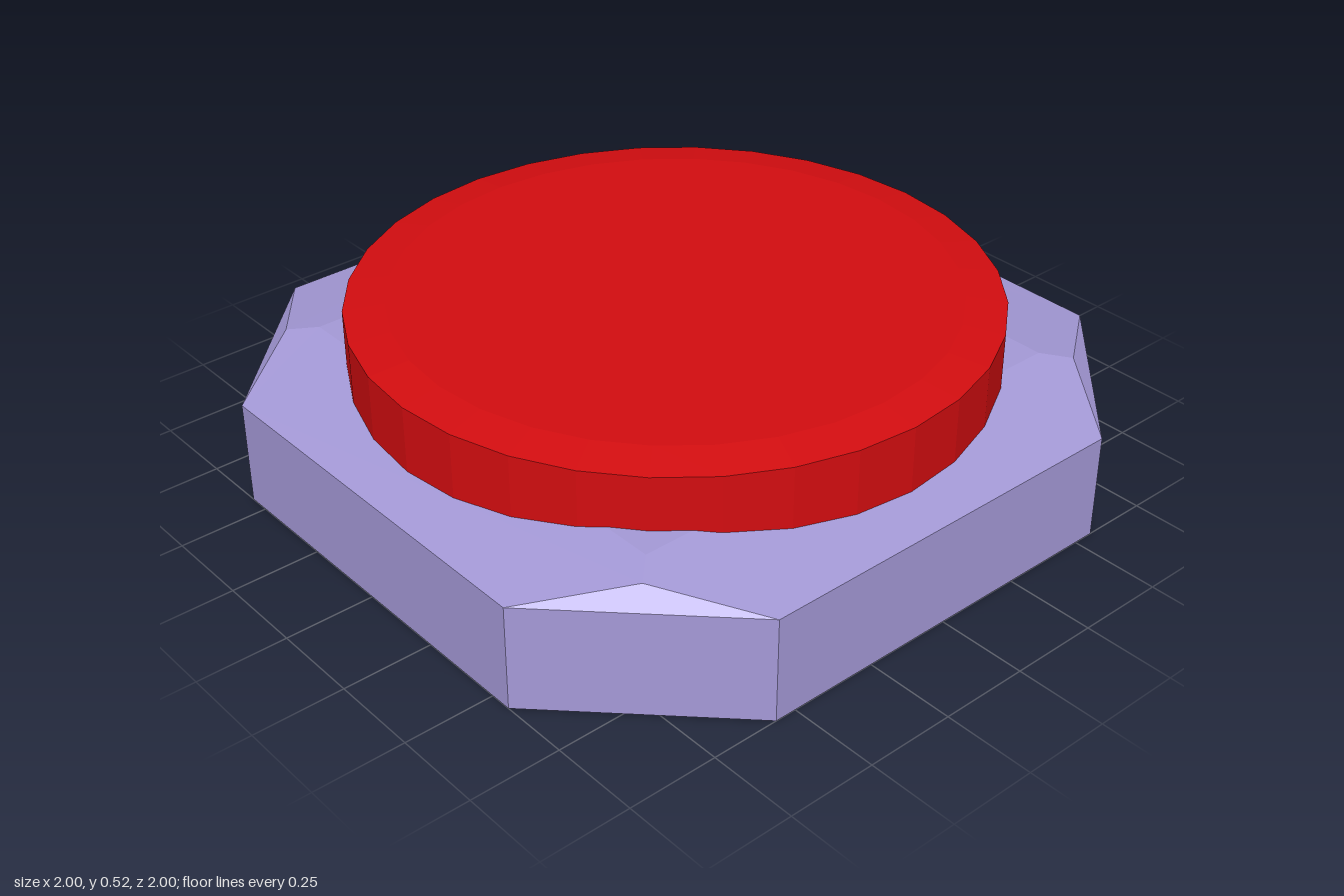
import * as THREE from 'three';

// Octagonal base: one quarter of its faces, repeated by quarter turns
function baseGeometry() {
  const edge = 0.56, wallTop = 0.295, hip = 0.745, hipY = 0.343, flat = 0.68, flatY = 0.355;
  const quarter = [
    // long wall and cut-corner wall
    [[-edge, 0, 1], [edge, 0, 1], [edge, wallTop, 1], [-edge, wallTop, 1]],
    [[edge, 0, 1], [1, 0, edge], [1, wallTop, edge], [edge, wallTop, 1]],
    // shallow top slope and steep corner bevel
    [[-edge, wallTop, 1], [edge, wallTop, 1], [hip, hipY, hip], [flat, flatY, flat], [-flat, flatY, flat], [-hip, hipY, hip]],
    [[edge, wallTop, 1], [1, wallTop, edge], [hip, hipY, hip]],
    // flat top and underside
    [[0, flatY, 0], [-flat, flatY, flat], [flat, flatY, flat]],
    [[0, 0, 0], [1, 0, edge], [edge, 0, 1], [-edge, 0, 1]],
  ];
  const positions = [];
  for (let turn = 0; turn < 4; turn++) {
    const c = [1, 0, -1, 0][turn], s = [0, 1, 0, -1][turn];
    for (const face of quarter) {
      const p = face.map(([x, y, z]) => [x * c + z * s, y, -x * s + z * c]);
      for (let i = 1; i < p.length - 1; i++) positions.push(...p[0], ...p[i], ...p[i + 1]);
    }
  }
  const geometry = new THREE.BufferGeometry();
  geometry.setAttribute('position', new THREE.Float32BufferAttribute(positions, 3));
  geometry.computeVertexNormals();
  return geometry;
}

// Round push button with a very shallow bevelled top
function buttonGeometry() {
  const profile = [[0, 0.29], [0.87, 0.29], [0.87, 0.505], [0.76, 0.52], [0, 0.52]];
  return new THREE.LatheGeometry(profile.map(([r, y]) => new THREE.Vector2(r, y)), 32);
}

export function createModel() {
  const group = new THREE.Group();
  group.name = 'pushButton';
  const add = (name, geometry, color) => {
    const mesh = new THREE.Mesh(geometry, new THREE.MeshStandardMaterial({ color, flatShading: true }));
    mesh.name = name;
    group.add(mesh);
  };
  add('base', baseGeometry(), 0xa59ad8);
  add('button', buttonGeometry(), 0xd40d10);
  return group;
}
